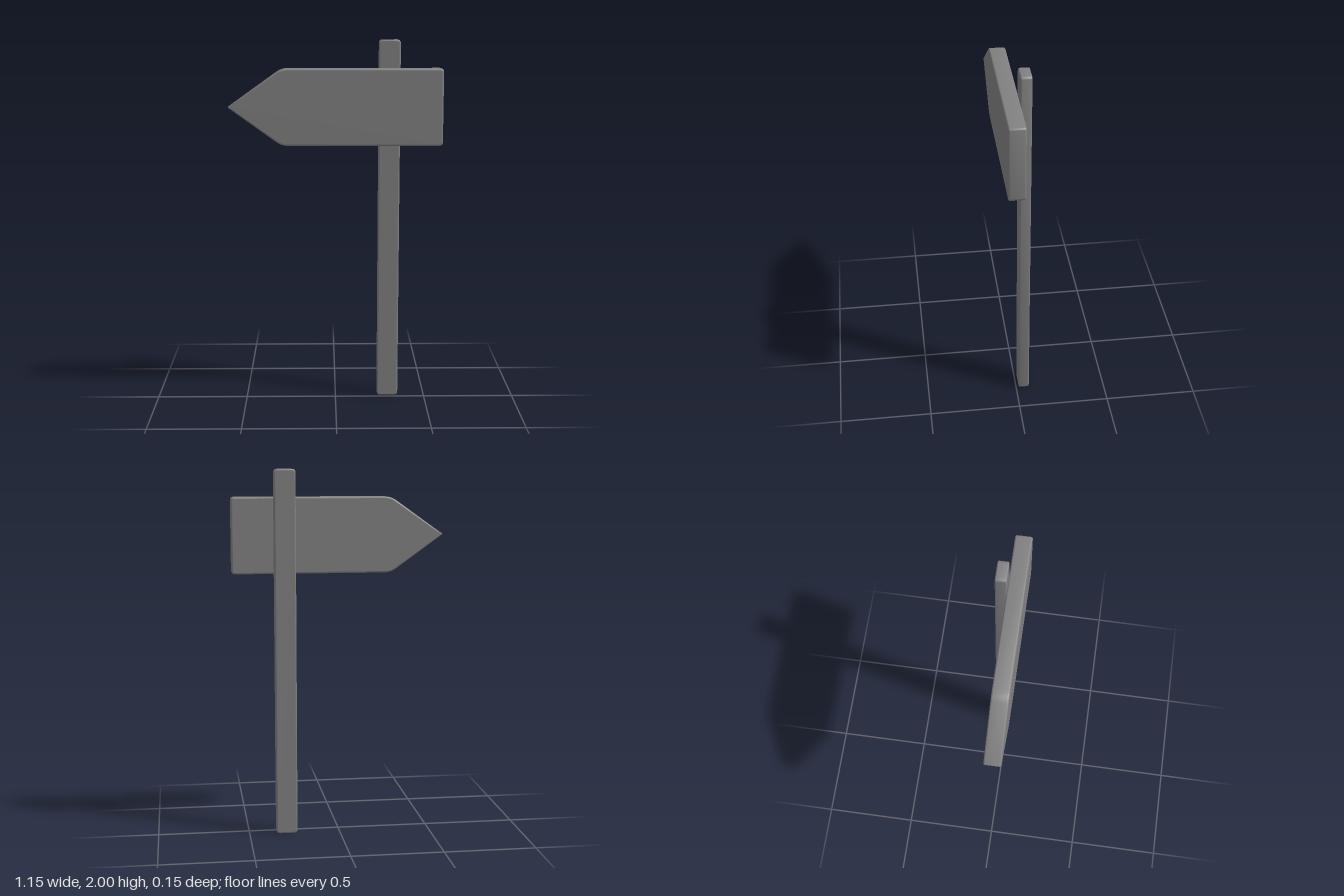
import * as THREE from 'three';
import { toCreasedNormals } from 'three/addons/utils/BufferGeometryUtils.js';

// Dark weathered grey
const material = new THREE.MeshStandardMaterial({ color: 0x808080 });

// Polygon outline whose corners [x, y, radius] are softened by curves
function softOutline(corners) {
  const shape = new THREE.Shape();
  const n = corners.length;
  corners.forEach(([x, y, radius], i) => {
    const corner = new THREE.Vector2(x, y);
    const towards = ([px, py]) =>
      new THREE.Vector2(px, py).sub(corner).setLength(radius).add(corner);
    const start = towards(corners[(i + n - 1) % n]);
    const end = towards(corners[(i + 1) % n]);
    if (i === 0) shape.moveTo(start.x, start.y);
    else shape.lineTo(start.x, start.y);
    shape.quadraticCurveTo(x, y, end.x, end.y);
  });
  shape.closePath();
  return shape;
}

// Plank with worn, rounded edges between zBack and zFront
function plank(name, corners, zBack, zFront, bevel) {
  const extruded = new THREE.ExtrudeGeometry(softOutline(corners), {
    depth: zFront - zBack - 2 * bevel,
    bevelSize: bevel,
    bevelThickness: bevel,
    bevelOffset: -bevel,
    bevelSegments: 4,
    curveSegments: 5,
  });
  const capVertices = extruded.groups[0].count;
  extruded.translate(0, 0, zBack + bevel);
  const geometry = toCreasedNormals(extruded, 0.5);

  // Keep the broad front and back faces evenly flat
  const { position, normal } = geometry.attributes;
  const middle = (zBack + zFront) / 2;
  for (let i = 0; i < capVertices; i++) {
    normal.setXYZ(i, 0, 0, Math.sign(position.getZ(i) - middle));
  }

  const mesh = new THREE.Mesh(geometry, material);
  mesh.name = name;
  return mesh;
}

export function createModel() {
  const group = new THREE.Group();
  group.name = 'signpost';

  // Upright post behind the board
  group.add(plank('post', [
    [0.235, 0, 0.02], [0.352, 0, 0.02], [0.352, 2, 0.02], [0.235, 2, 0.02],
  ], -0.073, -0.014, 0.008));

  // Arrow board pointing to the model's right
  group.add(plank('arrowBoard', [
    [-0.578, 1.646, 0.006], [-0.29, 1.438, 0.035], [0.578, 1.438, 0.018],
    [0.578, 1.851, 0.018], [-0.29, 1.851, 0.035],
  ], -0.016, 0.073, 0.009));

  return group;
}
